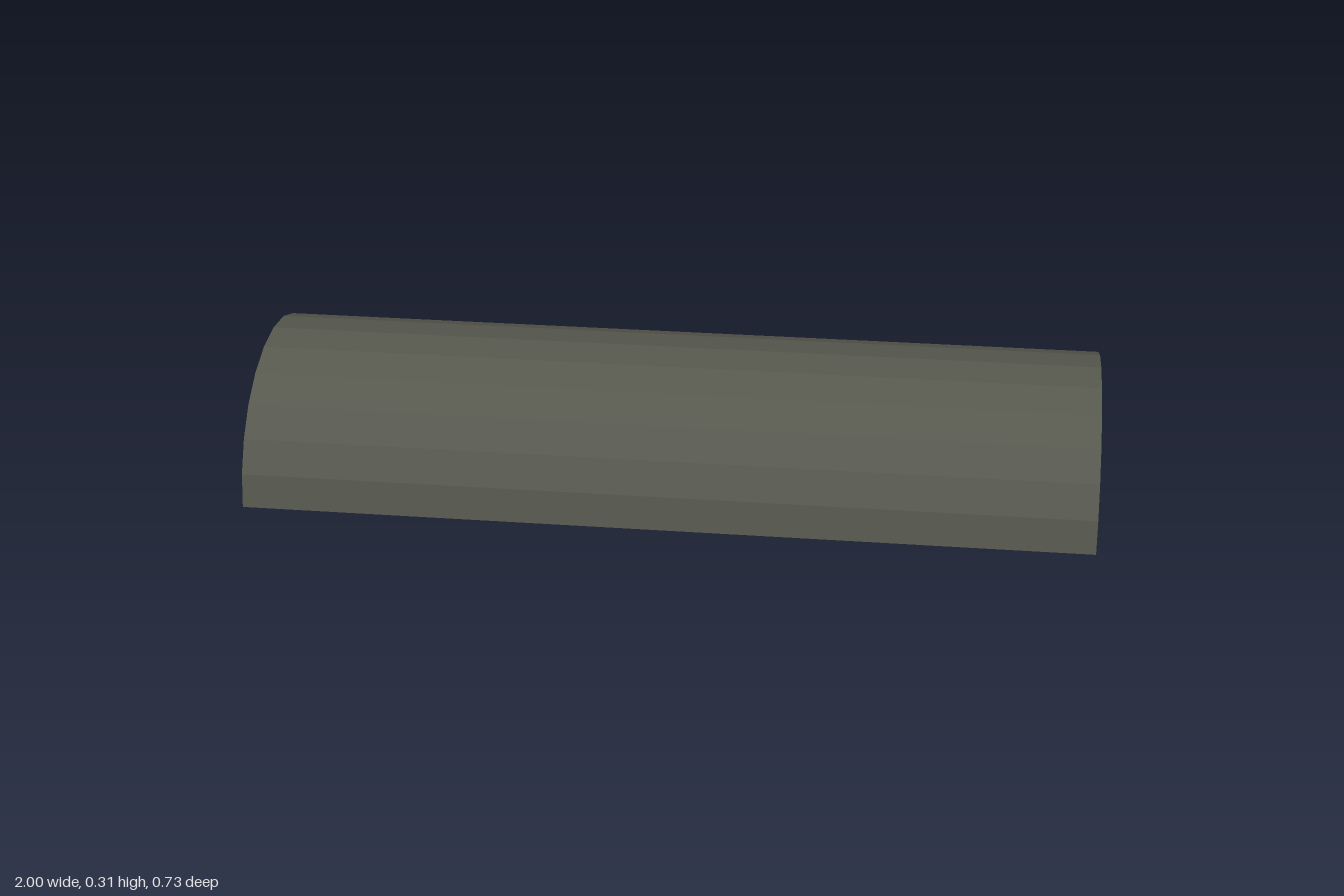
import * as THREE from 'three';

// Right half of the faceted arch, as (z, y) from the ground up to the ridge
const HALF = [[0.363, 0], [0.35, 0.08], [0.313, 0.155], [0.256, 0.218], [0.181, 0.266], [0.094, 0.296], [0, 0.306]];
const SKIN = 0.006;    // thickness of the roof skin
const RECESS = 0.02;   // how far the end walls sit inside the roof

// Full arch outline; a positive inset shrinks it
function arch(inset) {
  const kz = 1 - inset / 0.363, ky = 1 - inset / 0.306;
  const half = HALF.map(([z, y]) => new THREE.Vector2(z * kz, y * ky));
  const mirrored = half.slice(0, -1).reverse().map(p => new THREE.Vector2(-p.x, p.y));
  return [...half, ...mirrored];
}

// Extrude an outline along the x axis, centred
function alongX(points, length) {
  const g = new THREE.ExtrudeGeometry(new THREE.Shape(points), { depth: length, bevelEnabled: false });
  g.translate(0, 0, -length / 2);
  g.rotateY(Math.PI / 2);
  return g;
}

export function createModel() {
  const roofPaint = new THREE.MeshStandardMaterial({ color: 0x56574d });
  roofPaint.name = 'roof grey';
  const wallPaint = new THREE.MeshStandardMaterial({ color: 0x52524d });
  wallPaint.name = 'wall grey';
  const doorPaint = new THREE.MeshStandardMaterial({ color: 0xae9851 });
  doorPaint.name = 'door ochre';

  const model = new THREE.Group();
  model.name = 'archedHangar';
  const add = (name, geometry, material) => {
    const mesh = new THREE.Mesh(geometry, material);
    mesh.name = name;
    model.add(mesh);
    return mesh;
  };

  // Curved roof skin, overhanging both ends
  add('roof', alongX([...arch(0), ...arch(SKIN).reverse()], 2), roofPaint);

  // End walls and floor
  const wallX = 1 - RECESS;
  add('wallsAndFloor', alongX(arch(SKIN), 2 * wallX), wallPaint);

  // One door plate on each end wall
  for (const [name, side] of [['leftDoor', 1], ['rightDoor', -1]]) {
    add(name, new THREE.BoxGeometry(0.006, 0.2, 0.19), doorPaint)
      .position.set(side * (wallX + 0.002), 0.1, 0);
  }
  return model;
}
